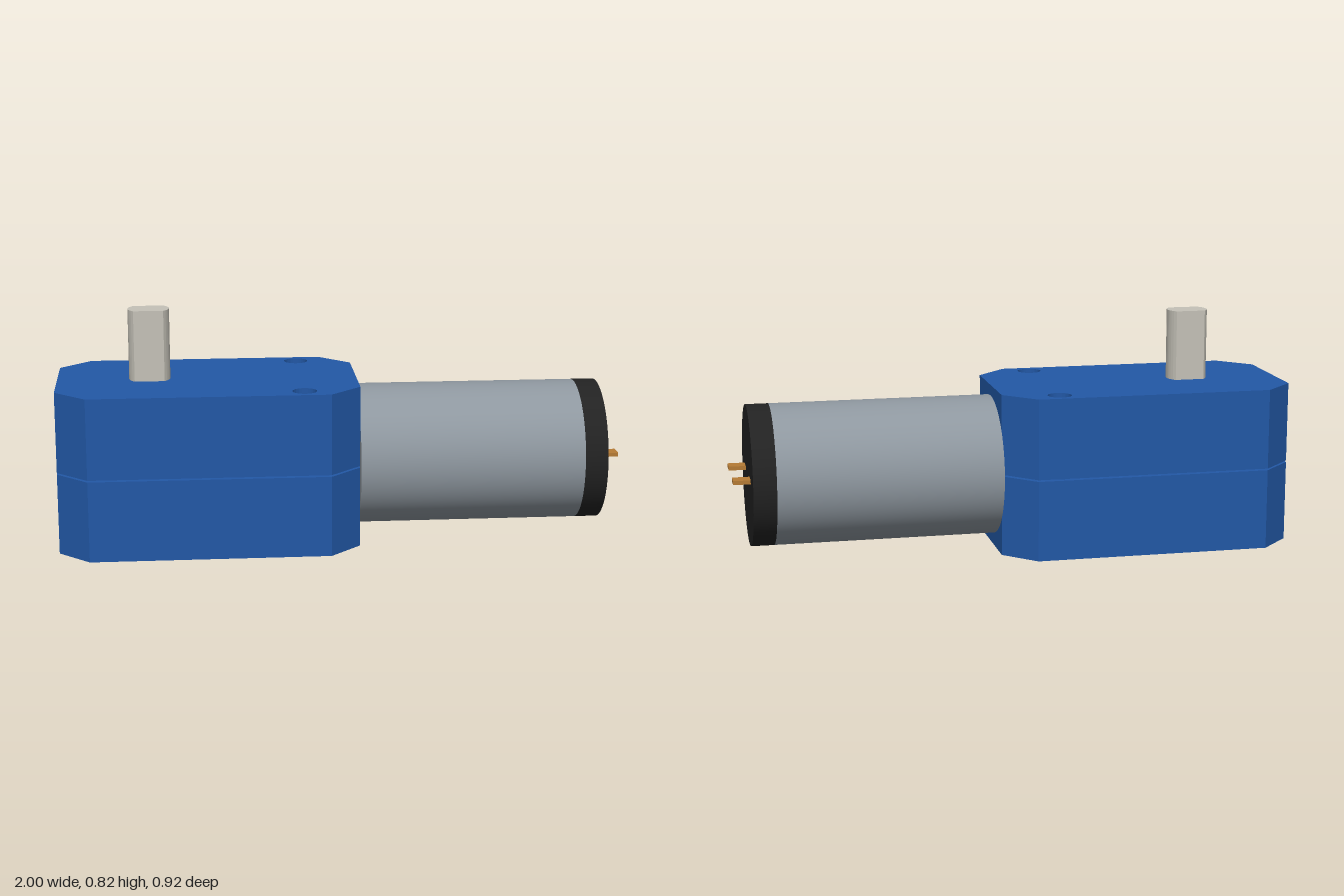
import * as THREE from 'three';
import { toCreasedNormals } from 'three/addons/utils/BufferGeometryUtils.js';

const material = (name, color) => {
  const m = new THREE.MeshStandardMaterial({ color });
  m.name = name;
  return m;
};

// Extrudes a plan-view shape upwards from y0 to y1
function prism(shape, y0, y1) {
  const geo = new THREE.ExtrudeGeometry(shape, { depth: y1 - y0, bevelEnabled: false, curveSegments: 32 });
  geo.rotateX(-Math.PI / 2).translate(0, y0, 0);
  return toCreasedNormals(geo, 0.6);
}

// Rectangle with chamfered corners and two screw holes
function housingShape() {
  const a = 0.523, b = 0.3015, c = 0.108;
  const shape = new THREE.Shape([
    [-a, -b + c], [-a + c, -b], [a - c, -b], [a, -b + c],
    [a, b - c], [a - c, b], [-a + c, b], [-a, b - c],
  ].map(([x, y]) => new THREE.Vector2(x, y)));
  for (const side of [-1, 1]) {
    shape.holes.push(new THREE.Path().absarc(0.328, side * 0.24, 0.042, 0, Math.PI * 2, true));
  }
  return shape;
}

// Round shaft with two flats
function shaftShape() {
  const r = 0.072, t = Math.asin(0.05 / r);
  const shape = new THREE.Shape();
  shape.absarc(0, 0, r, -t, t, false);
  shape.absarc(0, 0, r, Math.PI - t, Math.PI + t, false);
  shape.closePath();
  return shape;
}

export function createModel() {
  const blue = material('housing blue', 0x2258a6);
  const grey = material('motor grey', 0x8e979f);
  const black = material('cap black', 0x222222);
  const silver = material('shaft silver', 0xc4c1b7);
  const bronze = material('terminal bronze', 0xb57b35);

  const model = new THREE.Group();
  model.name = 'gearMotor';
  const body = new THREE.Group();
  body.name = 'body';
  body.position.set(-0.446, 0, -0.079);
  body.rotation.y = -0.2143;
  model.add(body);

  const add = (name, geo, mat, x = 0, y = 0, z = 0) => {
    const mesh = new THREE.Mesh(geo, mat);
    mesh.name = name;
    mesh.position.set(x, y, z);
    body.add(mesh);
  };

  // Gearbox halves with a narrow open seam
  add('lowerHousing', prism(housingShape(), 0, 0.284), blue);
  add('upperHousing', prism(housingShape(), 0.29, 0.573), blue);
  add('outputShaft', prism(shaftShape(), 0.57, 0.822), silver, -0.2);

  // Motor lying along x
  const cylinder = (length) => new THREE.CylinderGeometry(0.248, 0.248, length, 72).rotateZ(-Math.PI / 2);
  add('motorCan', cylinder(0.785), grey, 0.523 + 0.785 / 2, 0.287);
  add('motorEndCap', cylinder(0.08), black, 1.308 + 0.04, 0.287);

  // Two flat electrical terminals
  for (const side of [-1, 1]) {
    add(side > 0 ? 'leftTerminal' : 'rightTerminal',
      new THREE.BoxGeometry(0.07, 0.014, 0.055), bronze, 1.413, 0.294, side * 0.11);
  }
  return model;
}
